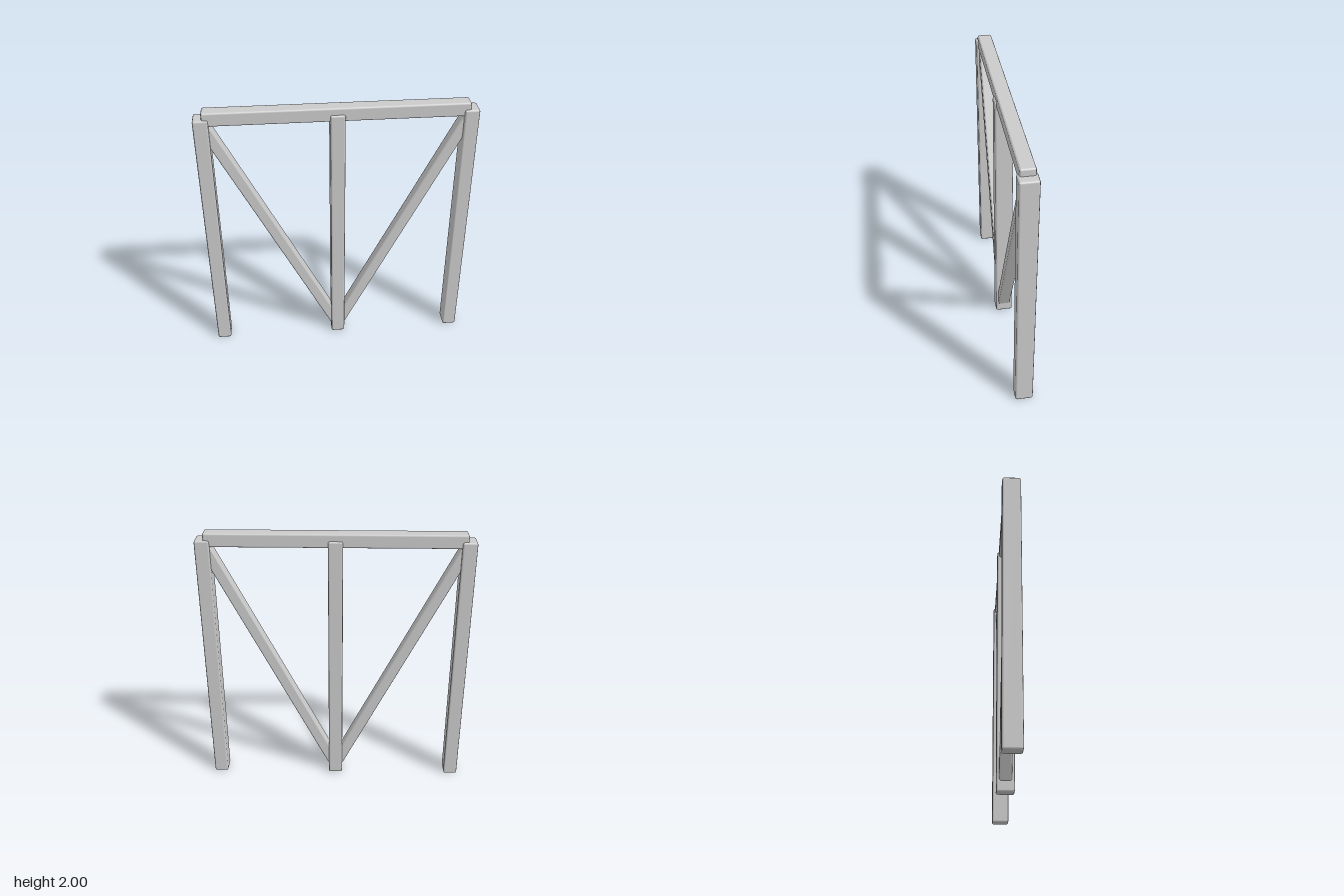
import * as THREE from 'three';
import { RoundedBoxGeometry } from 'three/addons/geometries/RoundedBoxGeometry.js';

export function createModel() {
  const group = new THREE.Group();
  const material = new THREE.MeshStandardMaterial({ color: 0xcccccc });

  // Timber with softly eased edges
  function timber(name, w, h, d, x, y, tilt = 0) {
    const mesh = new THREE.Mesh(new RoundedBoxGeometry(w, h, d, 1, 0.013), material);
    mesh.name = name;
    mesh.position.set(x, y, 0);
    mesh.rotation.z = tilt;
    group.add(mesh);
  }

  // Three upright posts
  const postHeight = 1.95;
  for (const [name, x] of [['rightPost', -0.92], ['centrePost', 0], ['leftPost', 0.92]]) {
    timber(name, 0.104, postHeight, 0.13, x, postHeight / 2);
  }

  // Top rail let into the post heads
  timber('topRail', 1.824, 0.1, 0.104, 0, 1.95);

  // Diagonal braces from the foot of the centre post to the outer post heads
  const foot = new THREE.Vector2(0.018, 0.09);
  const head = new THREE.Vector2(0.9, 1.88);
  const run = head.clone().sub(foot);
  const mid = foot.clone().add(head).multiplyScalar(0.5);
  for (const side of [-1, 1]) {
    timber(side < 0 ? 'rightBrace' : 'leftBrace', 0.083, run.length(), 0.09,
      side * mid.x, mid.y, -side * Math.atan2(run.x, run.y));
  }

  return group;
}
